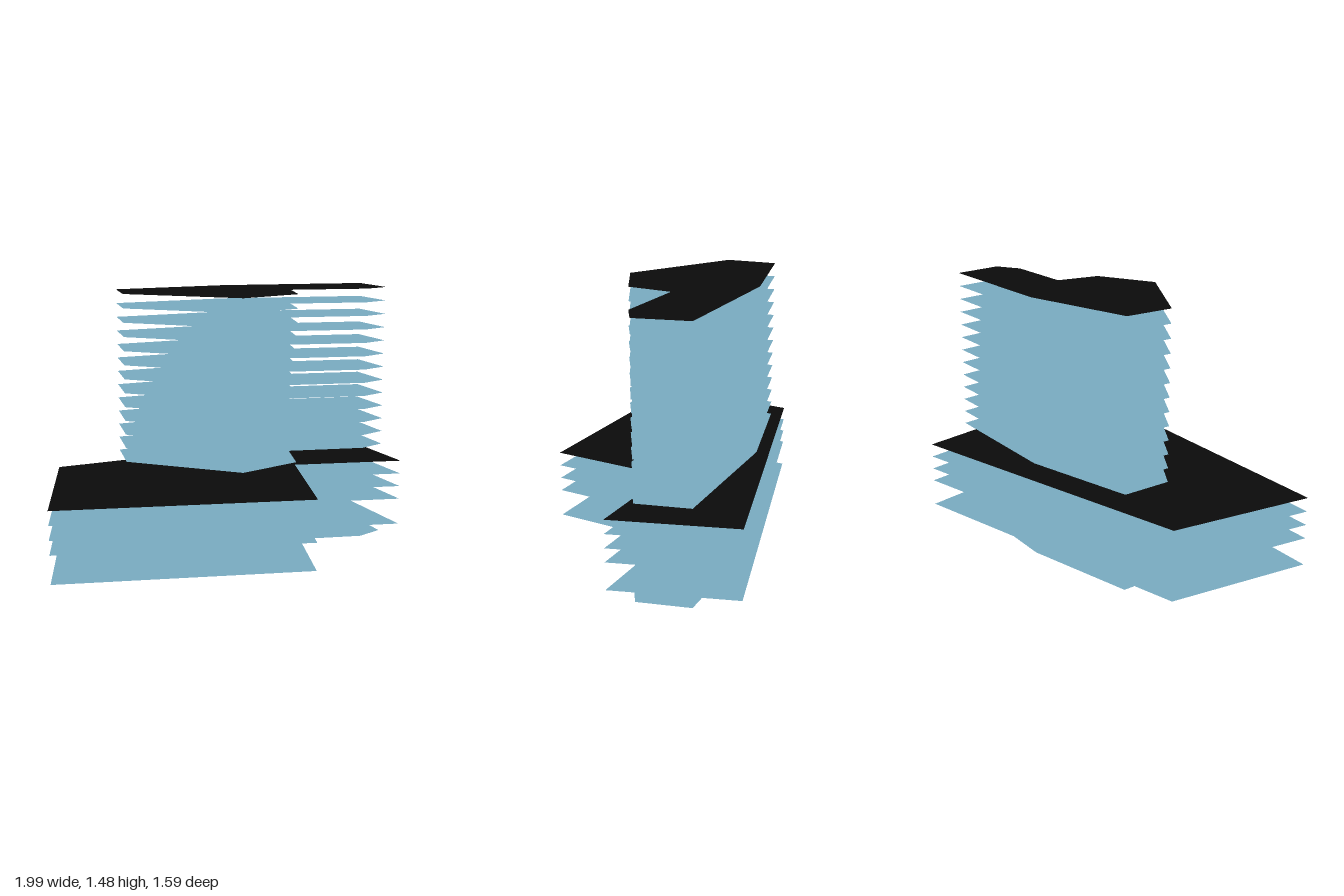
import * as THREE from 'three';

const STEP = 1.476 / 19; // storey height

// Floor outlines as [x, z] corners
const PODIUM = [[-1, -0.05], [0.69, -0.795], [0.99, -0.17], [0.36, -0.085], [0.43, 0.61], [-0.93, 0.79]];
const TOWER = [[-0.66, -0.15], [-0.05, -0.415], [0.775, -0.555], [0.89, -0.28], [0.765, -0.175],
  [0.325, -0.108], [0.35, 0.15], [0.05, 0.37], [-0.595, 0.13]];

// Flat horizontal sheet facing up
function floorGeometry(outline) {
  const shape = new THREE.Shape(outline.map(([x, z]) => new THREE.Vector2(x, -z)));
  return new THREE.ShapeGeometry(shape).rotateX(-Math.PI / 2);
}

export function createModel() {
  const group = new THREE.Group();
  const floorMat = new THREE.MeshStandardMaterial({ color: 0x78aac0, side: THREE.DoubleSide });
  const roofMat = new THREE.MeshStandardMaterial({ color: 0x0a0a0a, side: THREE.DoubleSide });
  const podium = floorGeometry(PODIUM);
  const tower = floorGeometry(TOWER);

  const addFloor = (name, geometry, level, material = floorMat) => {
    const mesh = new THREE.Mesh(geometry, material);
    mesh.name = name;
    mesh.position.y = level * STEP;
    group.add(mesh);
  };

  // Ground plate, then the podium with a double-height gap above its first floor
  addFloor('groundFloor', tower, 0);
  for (const level of [1, 3, 4, 5]) addFloor('podiumFloor' + level, podium, level);
  addFloor('podiumRoof', podium, 6, roofMat);

  // Tower storeys and roof
  for (let level = 7; level < 19; level++) addFloor('towerFloor' + level, tower, level);
  addFloor('towerRoof', tower, 19, roofMat);

  return group;
}
